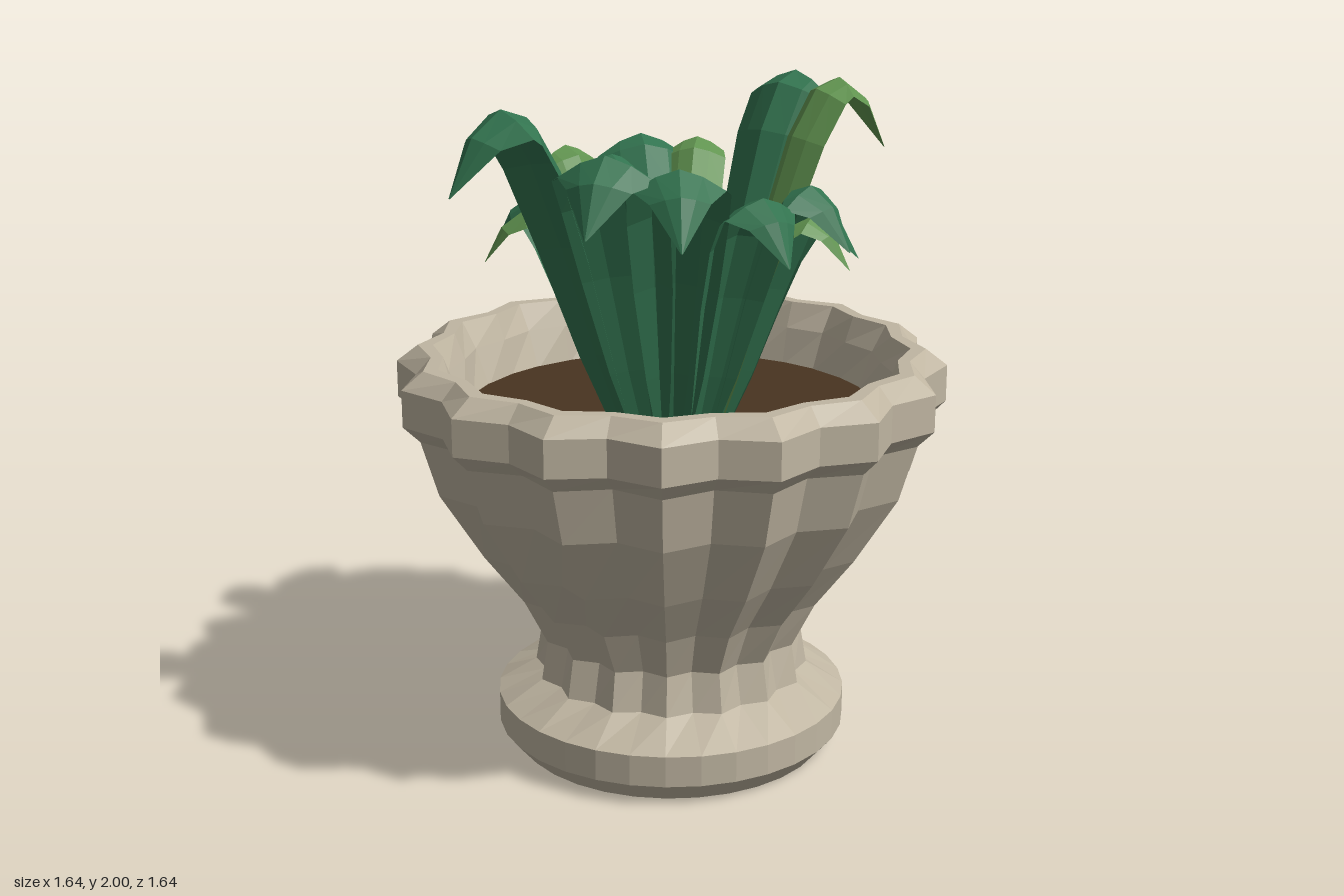
import * as THREE from 'three';

const mat = (name, color) => {
  const m = new THREE.MeshStandardMaterial({ color, flatShading: true, side: THREE.DoubleSide });
  m.name = name;
  return m;
};

// Joins rows of points into one surface
function loft(rows) {
  const n = rows[0].length, pos = [], idx = [];
  rows.forEach(row => row.forEach(p => pos.push(p.x, p.y, p.z)));
  for (let i = 0; i < rows.length - 1; i++) {
    for (let j = 0; j < n - 1; j++) {
      const a = i * n + j, b = a + 1, c = b + n, d = a + n;
      idx.push(a, b, c, a, c, d);
    }
  }
  const g = new THREE.BufferGeometry();
  g.setAttribute('position', new THREE.Float32BufferAttribute(pos, 3));
  g.setIndex(idx);
  g.computeVertexNormals();
  return g;
}

// Pot profile from foot to inner wall: height, lobe radius, groove radius
const POT = [
  [0, 0.48, 0.48], [0.065, 0.535, 0.535], [0.16, 0.535, 0.535], [0.23, 0.42, 0.39],
  [0.35, 0.40, 0.365], [0.49, 0.47, 0.425], [0.65, 0.59, 0.535], [0.86, 0.72, 0.655],
  [1.03, 0.77, 0.70], [1.08, 0.82, 0.755], [1.19, 0.82, 0.755], [1.24, 0.755, 0.71],
  [1.24, 0.71, 0.675], [1.16, 0.665, 0.645], [1.04, 0.62, 0.62],
];

function potGeometry(lobes = 16) {
  return loft(POT.map(([y, lobe, groove]) => {
    const ring = [];
    for (let j = 0; j <= lobes * 2; j++) {
      const a = (j / (lobes * 2)) * Math.PI * 2, r = j % 2 ? groove : lobe;
      ring.push(new THREE.Vector3(Math.sin(a) * r, y, Math.cos(a) * r));
    }
    return ring;
  }));
}

// Leaf arch: outward fraction, height fraction, width fraction
const ARCH = [
  [0, 0, 0.35], [0.12, 0.23, 0.58], [0.28, 0.57, 0.84], [0.43, 0.83, 0.98],
  [0.57, 0.97, 1], [0.71, 1, 0.9], [0.87, 0.93, 0.58], [1, 0.77, 0.02],
];

// A leaf that leans out to its tip at (x, z), folded down along both edges
function leafGeometry(x, z, top, halfWidth) {
  const R = Math.hypot(x, z), out = new THREE.Vector3(x / R, 0, z / R);
  const side = new THREE.Vector3(out.z, 0, -out.x);
  const r0 = 0.16, y0 = 1.03, last = ARCH.length - 1;
  const at = i => new THREE.Vector2(r0 + (R - r0) * ARCH[i][0], y0 + (top - y0) * ARCH[i][1]);
  return loft(ARCH.map((row, i) => {
    const p = at(i);
    const t = at(Math.min(i + 1, last)).sub(at(Math.max(i - 1, 0))).normalize();
    return [-1, -0.5, 0, 0.5, 1].map(u => {
      const w = halfWidth * row[2], fold = 0.5 * w * Math.abs(u) ** 1.5;
      return out.clone().multiplyScalar(p.x + t.y * fold)
        .addScaledVector(side, u * w)
        .setY(p.y - t.x * fold);
    });
  }));
}

// Leaves: tip x, tip z, top height, half width
const DARK = [
  [0.22, -0.72, 2.0, 0.15], [-0.39, -0.57, 1.79, 0.15], [-0.44, -0.41, 1.74, 0.09],
  [-0.35, 0.67, 2.0, 0.15], [0.06, 0.68, 1.9, 0.16], [0.31, 0.62, 1.87, 0.14],
  [0.51, 0.36, 1.77, 0.125], [0.6, 0.135, 1.78, 0.125], [0.51, -0.2, 1.66, 0.12],
  [-0.54, 0.08, 1.67, 0.12],
];
const LIGHT = [
  [0.45, -0.59, 2.0, 0.105], [-0.18, -0.66, 1.78, 0.095], [-0.57, -0.26, 1.78, 0.105],
  [-0.46, 0.29, 1.66, 0.08], [0.55, -0.01, 1.67, 0.085],
];

export function createModel() {
  const model = new THREE.Group();
  model.name = 'pottedPlant';
  const stone = mat('stone', 0xc0b6a2), soil = mat('soil', 0x483420);
  const darkGreen = mat('darkGreen', 0x32734f), lightGreen = mat('lightGreen', 0x619450);
  const add = (name, geometry, material) => {
    const m = new THREE.Mesh(geometry, material);
    m.name = name;
    model.add(m);
    return m;
  };

  add('flutedPot', potGeometry(), stone);

  const earth = add('soil', new THREE.CircleGeometry(0.625, 32), soil);
  earth.rotation.x = -Math.PI / 2;
  earth.position.y = 1.05;

  DARK.forEach(l => add('darkLeaf', leafGeometry(...l), darkGreen));
  LIGHT.forEach(l => add('lightLeaf', leafGeometry(...l), lightGreen));
  return model;
}
